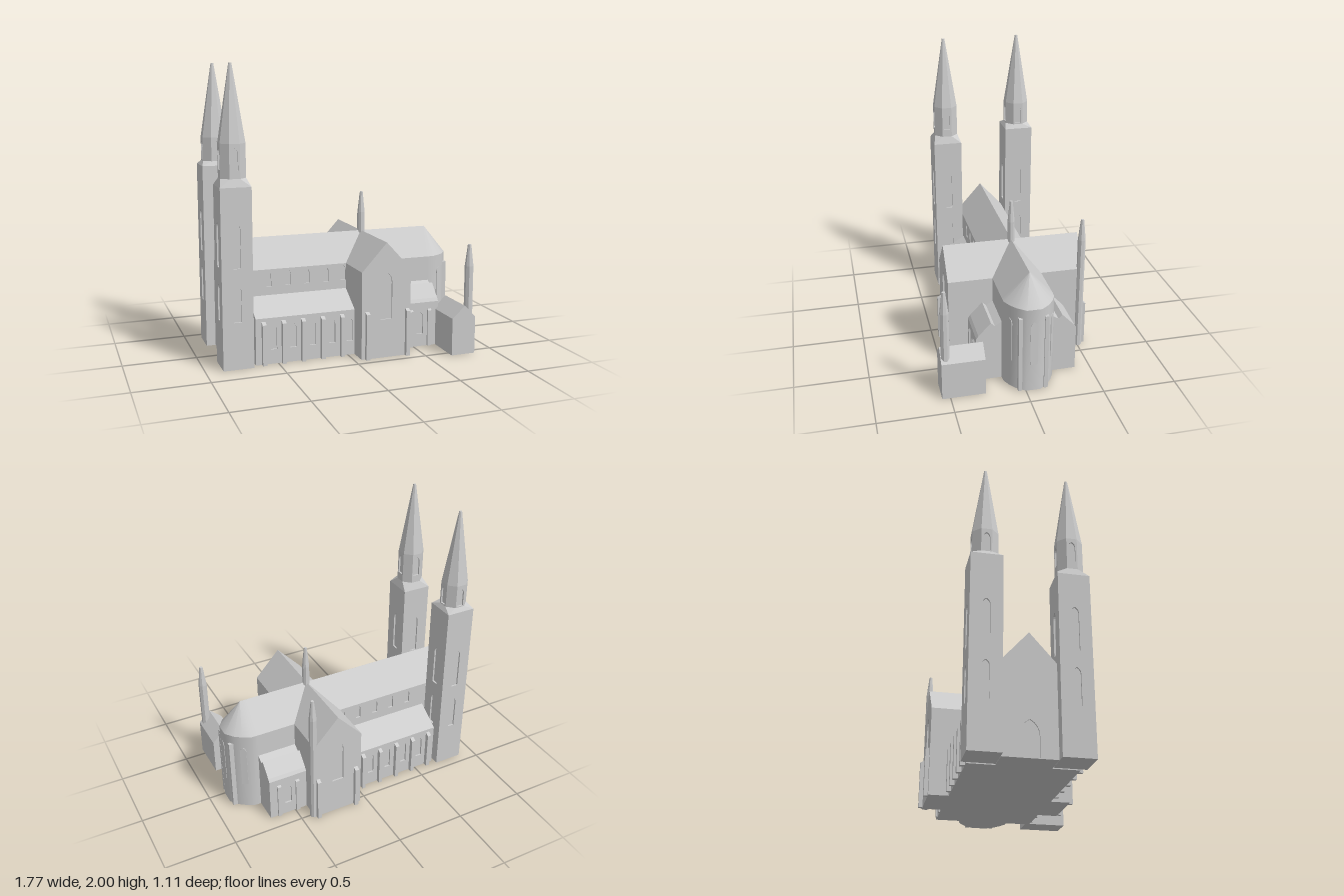
import * as THREE from 'three';
import { ConvexGeometry } from 'three/addons/geometries/ConvexGeometry.js';

const T = 0.012; // thickness of the outer wall skin, which is the window depth

export function createModel() {
  const stone = new THREE.MeshStandardMaterial({ color: 0xcccccc });
  stone.name = 'stone';
  const model = new THREE.Group();
  model.name = 'cathedral';
  const church = new THREE.Group();
  church.name = 'church';
  church.position.z = -0.05;
  model.add(church);

  const add = (name, geo, x = 0, y = 0, z = 0, ry = 0) => {
    const m = new THREE.Mesh(geo, stone);
    m.name = name;
    m.position.set(x, y, z);
    m.rotation.y = ry;
    church.add(m);
    return m;
  };
  const faceted = (g) => {
    const n = g.index ? g.toNonIndexed() : g;
    n.computeVertexNormals();
    return n;
  };
  const shapeOf = (pts) => new THREE.Shape(pts.map((p) => new THREE.Vector2(p[0], p[1])));
  const extrude = (shape, depth) =>
    new THREE.ExtrudeGeometry(shape, { depth, bevelEnabled: false, curveSegments: 4 });
  const rect = (x0, x1, y0, y1) => [[x0, y0], [x1, y0], [x1, y1], [x0, y1]];

  // Solids swept along x from (z, y) sections, or along z from (x, y) sections
  const prismX = (name, pts, x0, x1) =>
    add(name, extrude(shapeOf(pts.map(([z, y]) => [-z, y])), x1 - x0).rotateY(Math.PI / 2), x0);
  const prismZ = (name, pts, z0, z1) => add(name, extrude(shapeOf(pts), z1 - z0), 0, 0, z0);

  // Pointed window outline
  const lancet = (path, u, y0, y1, w) => {
    const h = w / 2, spring = y1 - w * 0.85;
    path.moveTo(u - h, y0);
    path.lineTo(u + h, y0);
    path.lineTo(u + h, spring);
    path.quadraticCurveTo(u + h, y1 - w * 0.3, u, y1);
    path.quadraticCurveTo(u - h, y1 - w * 0.3, u - h, spring);
    path.lineTo(u - h, y0);
    return path;
  };
  // Wall skin with window openings; its outer face lies `dist` from (x, z) in direction ry
  const wall = (name, pts, windows, x, z, dist, ry) => {
    const s = shapeOf(pts);
    windows.forEach((w) => s.holes.push(lancet(new THREE.Path(), ...w)));
    const d = dist - T;
    return add(name, extrude(s, T), x + Math.sin(ry) * d, 0, z + Math.cos(ry) * d, ry);
  };
  const sides = [[1, 0], [-1, Math.PI]]; // [z sign, facing angle]

  // Nave and choir with clerestory windows
  prismX('nave', [[-0.16, 0], [0.16, 0], [0.16, 0.61], [0.172, 0.61], [0, 0.805],
    [-0.172, 0.61], [-0.16, 0.61]], -0.81, 0.69);
  wall('westFront', [[-0.172, 0], [0.172, 0], [0.172, 0.61], [0, 0.805], [-0.172, 0.61]],
    [[0, 0.005, 0.24, 0.12]], 0, 0, 0.82, -Math.PI / 2);
  for (const [s, ry] of sides) {
    const nave = [-0.515, -0.375, -0.24, -0.1, 0.03].map((x) => [s * x, 0.49, 0.595, 0.038]);
    wall('clerestory', rect(Math.min(-0.82 * s, 0.69 * s), Math.max(-0.82 * s, 0.69 * s), 0, 0.61),
      nave, 0, 0, 0.172, ry);

    // Side aisles with lean-to roofs
    const mirror = (pts) => pts.map(([z, y]) => [s * z, y]);
    const span = (a, b) => rect(Math.min(a * s, b * s), Math.max(a * s, b * s), 0, 0.32);
    prismX('aisle', mirror([[0.15, 0], [0.333, 0], [0.333, 0.32], [0.345, 0.32], [0.172, 0.43],
      [0.15, 0.43]]), -0.655, 0.06);
    wall('aisleWall', span(-0.655, 0.05),
      [-0.53, -0.393, -0.255, -0.115, 0.012].map((x) => [s * x, 0.1, 0.27, 0.045]), 0, 0, 0.345, ry);

    // Choir chapels with small ridged roofs
    prismX('chapel', mirror([[0.15, 0], [0.333, 0], [0.333, 0.32], [0.345, 0.32], [0.33, 0.343],
      [0.245, 0.432], [0.218, 0.405], [0.172, 0.435], [0.15, 0.435]]), 0.4, 0.69);
    wall('chapelWall', span(0.4, 0.69), [[s * 0.55, 0.09, 0.25, 0.05]], 0, 0, 0.345, ry);

    // Buttresses: x, inner depth, outer depth, height
    const buttresses = [-0.6, -0.462, -0.325, -0.185, -0.045].map((x) => [x, 0.33, 0.375, 0.305]);
    buttresses.push([0.48, 0.33, 0.357, 0.285], [0.62, 0.33, 0.357, 0.285],
      [0.09, 0.46, 0.507, 0.345], [0.385, 0.46, 0.507, 0.345]);
    for (const [x, a, b, h] of buttresses) {
      prismX('buttress', mirror([[a, 0], [b, 0], [b, h - 0.025], [a, h]]), x - 0.014, x + 0.014);
    }

    // Transept gable ends
    wall('transeptGable', [[-0.18, 0], [0.18, 0], [0.18, 0.61], [0, 0.805], [-0.18, 0.61]],
      [[0, 0.27, 0.6, 0.085]], 0.23, 0, 0.48, ry);
    add('apseButtress', new THREE.BoxGeometry(0.055, 0.545, 0.026), 0.845, 0.2725, s * 0.088);
  }
  prismZ('transept', [[0.05, 0], [0.41, 0], [0.41, 0.61], [0.23, 0.805], [0.05, 0.61]], -0.469, 0.469);

  // Apse: smooth rounded wall, half-cone roof and floor from matching rings
  const half = [[0.69, 0.172], [0.735, 0.17], [0.79, 0.142], [0.835, 0.108], [0.88, 0.05]];
  const plan = [...half, ...half.slice().reverse().map(([x, z]) => [x, -z])];
  const ring = (y) => plan.map(([x, z]) => [x, y, z]);
  const loft = (name, low, high) => {
    const g = new THREE.BufferGeometry();
    const n = low.length, index = [];
    g.setAttribute('position', new THREE.Float32BufferAttribute([...low, ...high].flat(), 3));
    for (let i = 0; i < n - 1; i++) index.push(i, i + 1, n + i + 1, i, n + i + 1, n + i);
    g.setIndex(index);
    g.computeVertexNormals();
    add(name, g);
  };
  loft('apseWall', ring(0), ring(0.61));
  loft('apseRoof', ring(0.61), plan.map(([x]) => [Math.min(x, 0.735), 0.805, 0]));
  loft('apseFloor', plan.map(() => [0.69, 0, 0]), ring(0));
  for (const s of [1, -1]) {
    const ry = s > 0 ? 0.563 : Math.PI - 0.563;
    add('apseWindow', extrude(lancet(new THREE.Shape(), 0, 0.2, 0.52, 0.045), 0.006),
      0.787, 0, s * 0.141, ry);
  }
  add('apseWindow', extrude(lancet(new THREE.Shape(), 0, 0.2, 0.52, 0.05), 0.005), 0.878, 0, 0, Math.PI / 2);

  // West towers: square shaft, broach, octagonal belfry and spire
  const W = 0.104, A = 0.085, F = A * Math.tan(Math.PI / 8), R = A / Math.cos(Math.PI / 8);
  const octagon = (rTop, rBottom, y0, y1) =>
    faceted(new THREE.CylinderGeometry(rTop, rBottom, y1 - y0, 8).rotateY(Math.PI / 8)
      .translate(0, (y0 + y1) / 2, 0));
  const tower = (z, top, broach) => {
    const x = -0.78, neck = top + broach, spring = 1.49;
    add('towerCore', new THREE.BoxGeometry(2 * (W - T), top, 2 * (W - T)), x, top / 2, z);
    for (let i = 0; i < 4; i++) {
      wall('towerWall', rect(-W, W, 0, top), [[0, 0.32, 0.57, 0.05], [0, 0.68, 0.98, 0.05]],
        x, z, W, i * Math.PI / 2);
    }
    const pts = [];
    for (const a of [-1, 1]) for (const b of [-1, 1]) {
      pts.push(new THREE.Vector3(a * W, top, b * W),
        new THREE.Vector3(a * A, neck, b * F), new THREE.Vector3(a * F, neck, b * A));
    }
    add('broach', new ConvexGeometry(pts), x, 0, z);
    add('belfryCore', octagon(R - T * 1.08, R - T * 1.08, top, spring), x, 0, z);
    for (let i = 0; i < 8; i++) {
      const windows = i % 2 ? [] : [[0, neck + 0.008 < 1.32 ? 1.32 : neck + 0.008, 1.465, 0.046]];
      wall('belfryWall', rect(-F, F, neck - 0.01, spring), windows, x, z, A, i * Math.PI / 4);
    }
    add('spire', octagon(0.01, R, spring, 2), x, 0, z);
  };
  tower(0.278, 1.212, 0.053);
  tower(-0.278, 1.295, 0.03);

  // Slender octagonal turrets
  const turret = (name, x, z, r, y0, top) => {
    const profile = [[0, y0], [r, y0], [r, top - 0.15], [r * 0.8, top - 0.1], [r * 0.4, top], [0, top]];
    add(name, faceted(new THREE.LatheGeometry(profile.map((p) => new THREE.Vector2(...p)), 8,
      Math.PI / 8)), x, 0, z);
  };
  turret('crossingFleche', 0.232, 0, 0.025, 0.76, 1.09);
  turret('stairTurret', 0.408, -0.456, 0.027, 0, 0.985);

  // Sacristy with its own turret
  prismZ('sacristy', [[0.672, 0], [0.848, 0], [0.848, 0.262], [0.765, 0.347], [0.672, 0.262]], 0.315, 0.605);
  turret('sacristyTurret', 0.807, 0.573, 0.03, 0.27, 0.77);

  return model;
}
